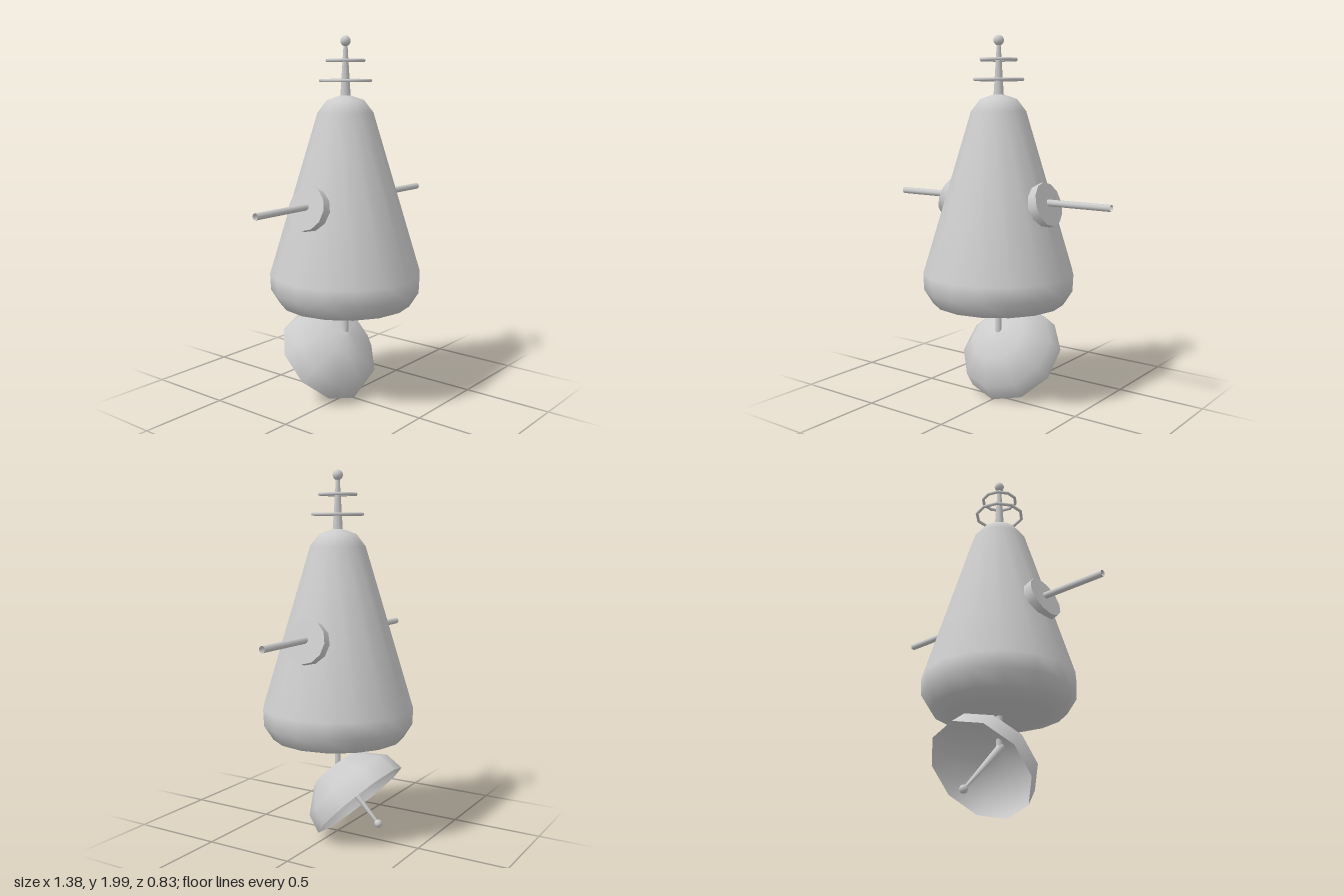
import * as THREE from 'three';

const grey = new THREE.MeshStandardMaterial({ color: 0xcccccc });
const greyDouble = new THREE.MeshStandardMaterial({ color: 0xcccccc, side: THREE.DoubleSide });

function add(parent, name, geometry, x = 0, y = 0, z = 0, material = grey) {
  const mesh = new THREE.Mesh(geometry, material);
  mesh.name = name;
  mesh.position.set(x, y, z);
  parent.add(mesh);
  return mesh;
}

function lathe(points, sides) {
  return new THREE.LatheGeometry(points.map(([r, y]) => new THREE.Vector2(r, y)), sides);
}

export function createModel() {
  const model = new THREE.Group();
  model.name = 'probe';

  // Rounded conical hull
  add(model, 'hull', lathe([
    [0, 0.535], [0.26, 0.535], [0.36, 0.56], [0.41, 0.64], [0.414, 0.73],
    [0.15, 1.6], [0.1, 1.665], [0.02, 1.692], [0, 1.692],
  ], 16));

  // Top antenna: tapered mast, ball and two rings
  const antenna = new THREE.Group();
  antenna.name = 'topAntenna';
  model.add(antenna);
  add(antenna, 'mast', new THREE.CylinderGeometry(0.01, 0.028, 0.28, 8), 0, 1.82, 0);
  add(antenna, 'mastBall', new THREE.SphereGeometry(0.028, 10, 8), 0, 1.972, 0);
  for (const [radius, y] of [[0.133, 1.768], [0.097, 1.872]]) {
    const ring = new THREE.TorusGeometry(radius, 0.009, 6, 10);
    ring.rotateX(Math.PI / 2).rotateY(Math.PI / 2);
    add(antenna, 'antennaRing', ring, 0, y, 0);
  }

  // Side pods lying on the hull slope, each with a horizontal rod
  const slope = 0.295;
  for (const side of [1, -1]) {
    const arm = new THREE.Group();
    arm.name = side > 0 ? 'leftArm' : 'rightArm';
    model.add(arm);
    const thickness = 0.08;
    const pod = add(arm, 'pod', new THREE.CylinderGeometry(0.118, 0.118, thickness, 12),
      side * (0.325 - Math.cos(slope) * thickness / 2), 1.125 - Math.sin(slope) * thickness / 2, 0);
    pod.rotation.z = -side * (Math.PI / 2 - slope);
    const rod = add(arm, 'rod', new THREE.CylinderGeometry(0.018, 0.018, 0.41, 8, 1, true),
      side * 0.485, 1.132, 0, greyDouble);
    rod.rotation.z = Math.PI / 2;
  }

  // Strut carrying the dish
  add(model, 'dishStrut', new THREE.CylinderGeometry(0.017, 0.017, 0.22, 8), 0, 0.46, 0);

  // Dish opening down and to the back; local +y is the opening direction
  const dish = new THREE.Group();
  dish.name = 'dishAssembly';
  dish.position.set(0, 0.215, -0.145);
  dish.rotation.x = -Math.PI * 0.75;
  model.add(dish);
  add(dish, 'dish', lathe([[0, -0.235], [0.155, -0.218], [0.272, -0.105], [0.29, 0]], 10),
    0, 0, 0, greyDouble);
  add(dish, 'feedHorn', new THREE.CylinderGeometry(0.008, 0.023, 0.38, 8), 0, -0.035, 0);
  add(dish, 'feedBall', new THREE.SphereGeometry(0.022, 10, 8), 0, 0.16, 0);

  return model;
}
